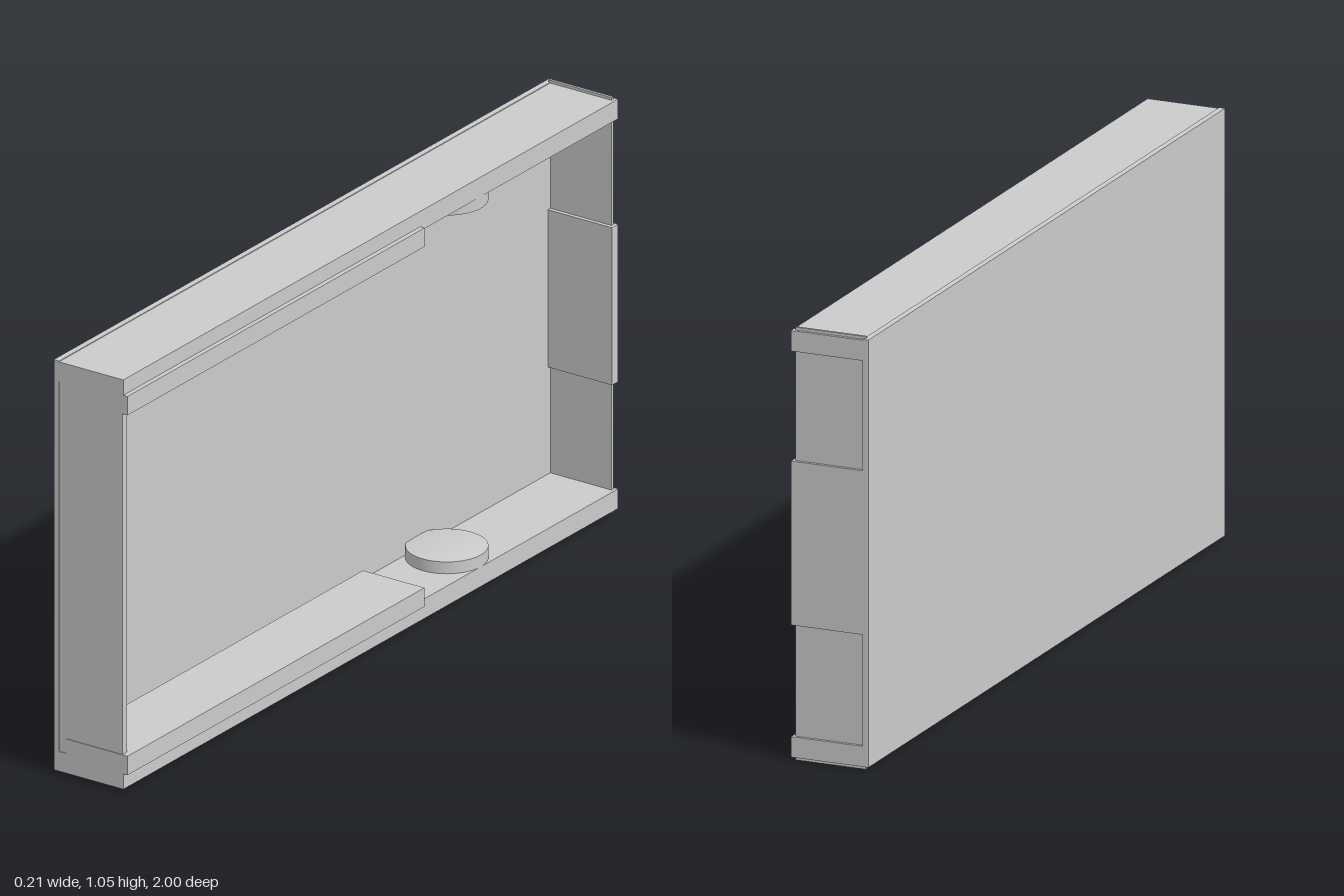
import * as THREE from 'three';

const material = new THREE.MeshStandardMaterial({ color: 0xcccccc });

// Box given by its extents on each axis
function box(name, [x0, x1], [y0, y1], [z0, z1]) {
  const mesh = new THREE.Mesh(new THREE.BoxGeometry(x1 - x0, y1 - y0, z1 - z0), material);
  mesh.position.set((x0 + x1) / 2, (y0 + y1) / 2, (z0 + z1) / 2);
  mesh.name = name;
  return mesh;
}

// Low round foot with a slightly domed face
function discGeometry(radius, edge, crown) {
  const points = [new THREE.Vector2(radius, 0), new THREE.Vector2(radius, edge)];
  const dome = [];
  for (let i = 0; i <= 6; i++) {
    const t = 1 - i / 6;
    dome.push(new THREE.Vector2(radius * t, edge + (crown - edge) * (1 - t * t)));
  }
  return [new THREE.LatheGeometry(points, 48), new THREE.LatheGeometry(dome, 48)];
}

export function createModel() {
  const model = new THREE.Group();
  model.name = 'openTray';
  const middle = 0.528;

  // Large flat panel closing the -x side
  model.add(box('sidePanel', [-0.105, -0.09], [0.01, 1.05], [-1, 1]));

  // End walls
  model.add(box('frontWall', [-0.105, 0.09], [0.03, 1.025], [0.98, 0.998]));
  model.add(box('backPlate', [-0.095, 0.085], [0, 1.055], [-0.992, -0.985]));
  model.add(box('backTab', [-0.105, 0.093], [0.33, 0.73], [-1, -0.975]));

  // Long walls, rails and discs, mirrored about mid height
  const discParts = discGeometry(0.097, 0.03, 0.038);
  for (const [side, s] of [['lower', 1], ['upper', -1]]) {
    const range = (a, b) => (s > 0 ? [a, b] : [2 * middle - b, 2 * middle - a]);
    model.add(box(side + 'Wall', [-0.105, 0.093], range(0.008, 0.058), [-1, 1]));
    model.add(box(side + 'Rail', [-0.07, 0.105], range(0.047, 0.095), [-0.2, 1]));

    const disc = new THREE.Group();
    disc.name = side + 'Disc';
    for (const geometry of discParts) disc.add(new THREE.Mesh(geometry, material));
    disc.position.set(-0.004, middle - s * (middle - 0.058), -0.445);
    if (s < 0) disc.rotation.x = Math.PI;
    model.add(disc);
  }
  return model;
}
